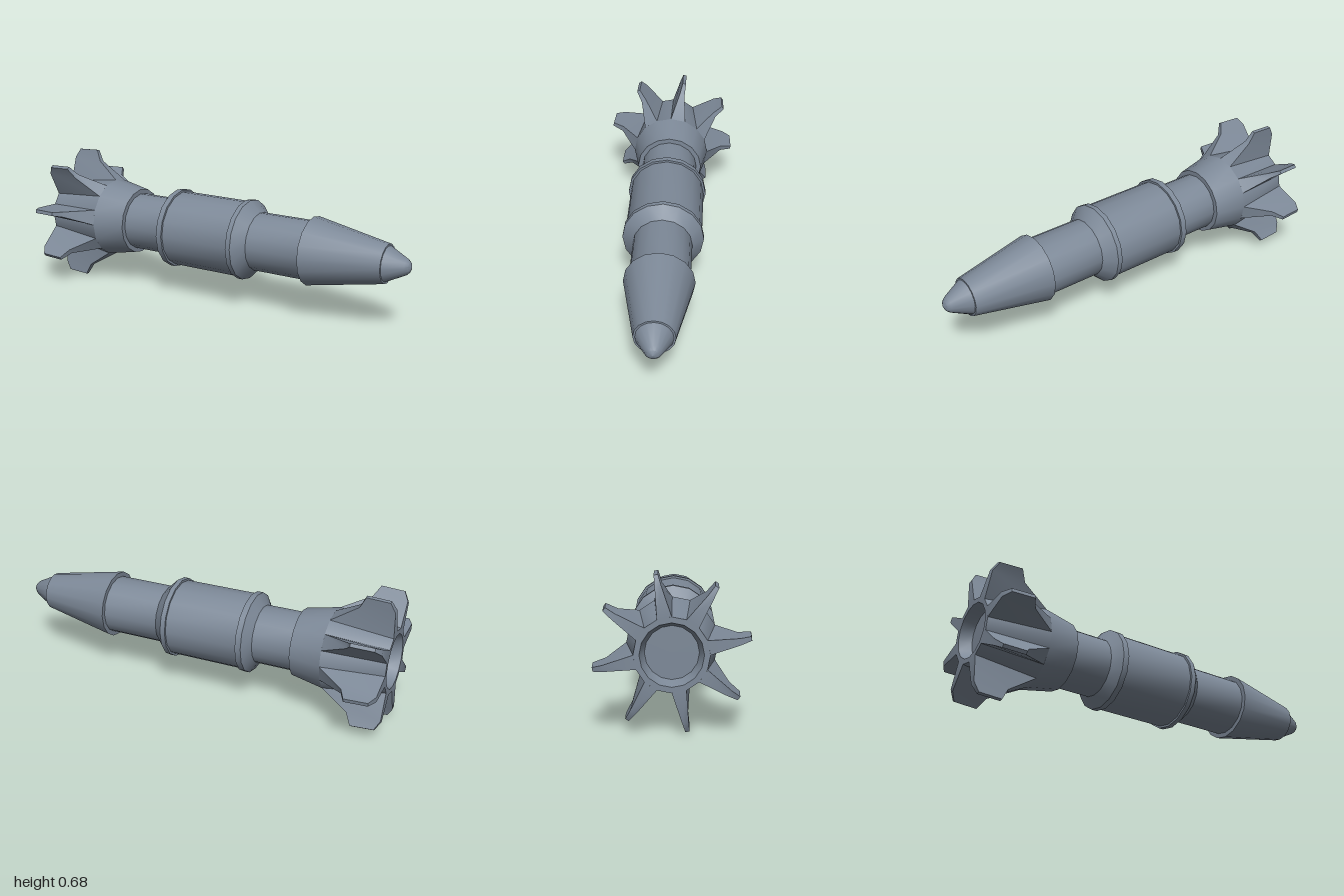
import * as THREE from 'three';
import { toCreasedNormals } from 'three/addons/utils/BufferGeometryUtils.js';

const SIDES = 16;
const material = new THREE.MeshStandardMaterial({ color: 0x7d8998 });

// Turned part along the x axis from [x, radius] pairs
function turned(name, profile) {
  const points = profile.map(([x, r]) => new THREE.Vector2(r, x));
  const geometry = new THREE.LatheGeometry(points, SIDES).rotateZ(-Math.PI / 2);
  const mesh = new THREE.Mesh(toCreasedNormals(geometry, 0.45), material);
  mesh.name = name;
  return mesh;
}

// Fin pointing up +y: outline of [x, radial height, half thickness], counterclockwise
function finGeometry() {
  const outline = [
    [-0.695, 0.199, 0.0396], [-0.83, 0.285, 0.014], [-0.86, 0.343, 0.009],
    [-0.975, 0.337, 0.009], [-1, 0.29, 0.014], [-1, 0.157, 0.0312],
  ];
  const positions = [];
  const corner = (i, side) => [outline[i][0], outline[i][1], side * outline[i][2]];
  const quad = (a, b, c, d) => positions.push(...a, ...b, ...c, ...a, ...c, ...d);
  // two flanks, each with a lower and an upper panel
  for (const [a, b, c, d] of [[0, 1, 4, 5], [1, 2, 3, 4]]) {
    quad(corner(a, 1), corner(b, 1), corner(c, 1), corner(d, 1));
    quad(corner(d, -1), corner(c, -1), corner(b, -1), corner(a, -1));
  }
  // rim
  for (let i = 0; i < 5; i++) {
    quad(corner(i, 1), corner(i, -1), corner(i + 1, -1), corner(i + 1, 1));
  }
  const geometry = new THREE.BufferGeometry();
  geometry.setAttribute('position', new THREE.Float32BufferAttribute(positions, 3));
  return toCreasedNormals(geometry, 0.6);
}

export function createModel() {
  const model = new THREE.Group();
  model.name = 'rocket';

  // Tail with hollow nozzle, and the flared collar ahead of it
  model.add(turned('tailNozzle', [
    [-0.94, 0], [-0.94, 0.115], [-1, 0.135], [-1, 0.16], [-0.695, 0.203],
  ]));
  model.add(turned('tailCollar', [[-0.695, 0.203], [-0.532, 0.171], [-0.532, 0.147]]));

  // Body with the thick middle sleeve and its two raised rings
  model.add(turned('body', [
    [-0.532, 0.147], [-0.33, 0.147], [-0.295, 0.203], [-0.265, 0.203], [-0.265, 0.192],
    [0.115, 0.192], [0.115, 0.203], [0.14, 0.203], [0.195, 0.147], [0.49, 0.147],
  ]));

  // Warhead cone and nose cap
  model.add(turned('warhead', [[0.49, 0.147], [0.49, 0.171], [0.88, 0.096], [0.88, 0.087]]));
  model.add(turned('noseCap', [[0.88, 0.087], [0.975, 0.039], [0.99, 0.025], [1, 0]]));

  // Eight fins, each rooted on every second facet of the tail
  const fin = finGeometry();
  for (let i = 0; i < 8; i++) {
    const mesh = new THREE.Mesh(fin, material);
    mesh.name = 'fin' + (i + 1);
    mesh.rotation.x = -Math.PI / SIDES - (i * Math.PI) / 4;
    model.add(mesh);
  }

  model.position.y = 0.34;
  const root = new THREE.Group();
  root.add(model);
  return root;
}
